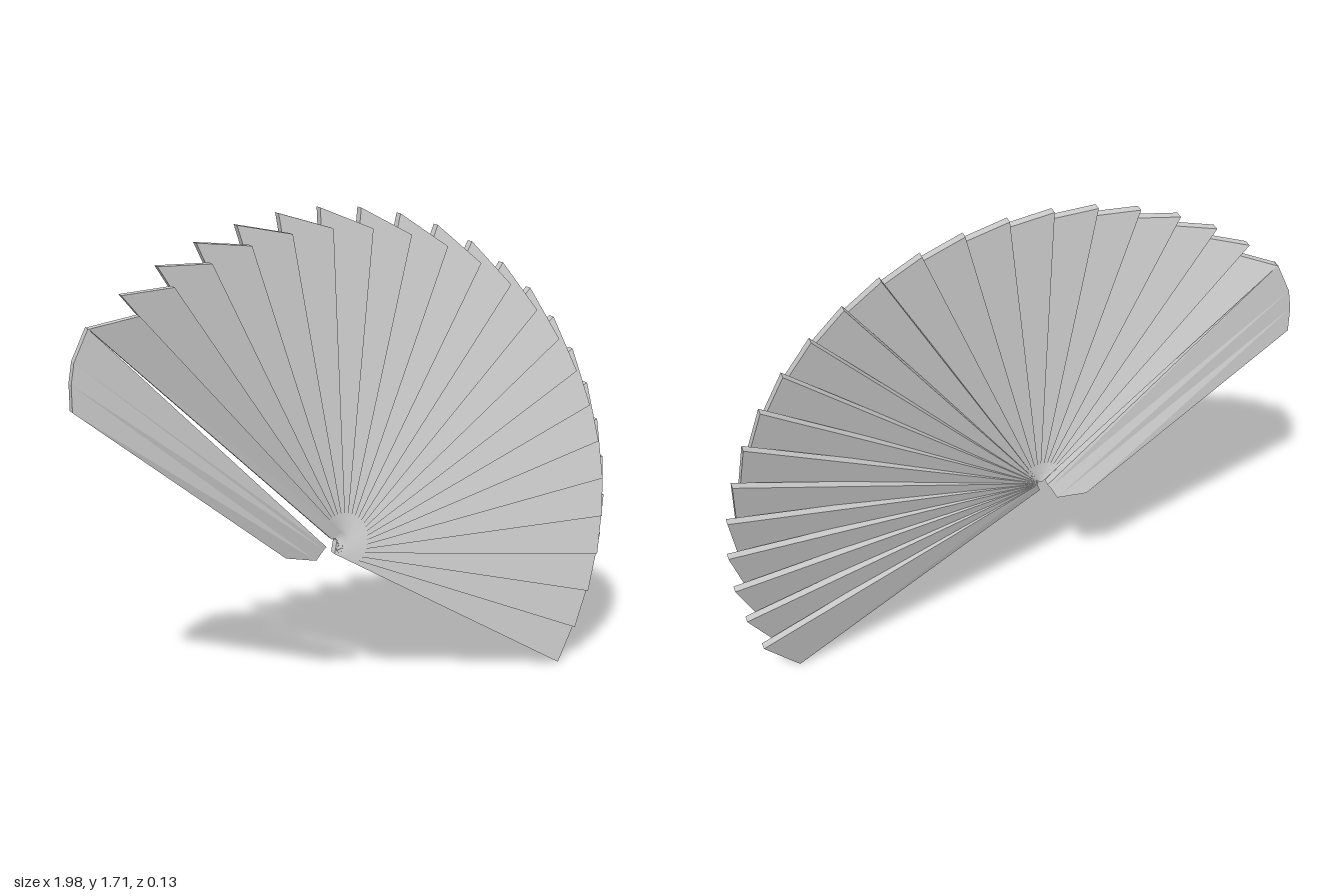
import * as THREE from 'three';

const PIVOT = [-0.14, 0.6];
const COUNT = 22;
const THICKNESS = 0.03;
const material = new THREE.MeshStandardMaterial({ color: 0xcccccc, flatShading: true });

// Solid strip between an inner and an outer row of [x, y, z] points (ordered counterclockwise).
function blade(name, inner, outer) {
  const pos = [];
  const back = ([x, y, z]) => [x, y, z - THICKNESS];
  const quad = (a, b, c, d) => pos.push(...a, ...b, ...c, ...a, ...c, ...d);
  const last = inner.length - 1;
  for (let i = 0; i < last; i++) {
    const [i0, i1, o0, o1] = [inner[i], inner[i + 1], outer[i], outer[i + 1]];
    quad(i0, o0, o1, i1);
    quad(back(i1), back(o1), back(o0), back(i0));
    quad(o0, back(o0), back(o1), o1);
    quad(i1, back(i1), back(i0), i0);
  }
  quad(inner[0], back(inner[0]), back(outer[0]), outer[0]);
  quad(outer[last], back(outer[last]), back(inner[last]), inner[last]);
  const geometry = new THREE.BufferGeometry();
  geometry.setAttribute('position', new THREE.Float32BufferAttribute(pos, 3));
  geometry.computeVertexNormals();
  const mesh = new THREE.Mesh(geometry, material);
  mesh.name = name;
  return mesh;
}

const polar = (radius, degrees, z) => {
  const a = THREE.MathUtils.degToRad(degrees);
  return [PIVOT[0] + radius * Math.cos(a), PIVOT[1] + radius * Math.sin(a), z];
};

export function createModel() {
  const fan = new THREE.Group();
  fan.name = 'foldingFan';

  // Overlapping tilted slats: clockwise edge forward, the other edge back
  const slats = new THREE.Group();
  slats.name = 'slats';
  for (let k = 0; k < COUNT; k++) {
    const t = k / (COUNT - 1);
    const angle = -22.4 + 7.52 * k;
    const spread = 11 - 3.8 * t ** 1.5;
    slats.add(blade(
      'slat' + (k + 1),
      [polar(0.04, angle - 75, 0.065), polar(0.01, angle, 0.05)],
      [
        polar(1.08 - 0.03 * t, angle - spread, 0.05 - 0.02 * t),
        polar(1.118, angle, -0.015 - 0.02 * t),
      ],
    ));
  }
  fan.add(slats);

  // Wider end panel, folded gently around the last slat
  fan.add(blade(
    'endGuard',
    [[-0.17, 0.585, 0.055], [-0.178, 0.575, 0.05], [-0.2, 0.535, 0.035], [-0.3, 0.55, 0.01]],
    [[-0.94, 1.385, -0.035], [-0.988, 1.28, -0.04], [-1, 1.21, -0.04], [-1, 1.12, -0.04]],
  ));

  return fan;
}
